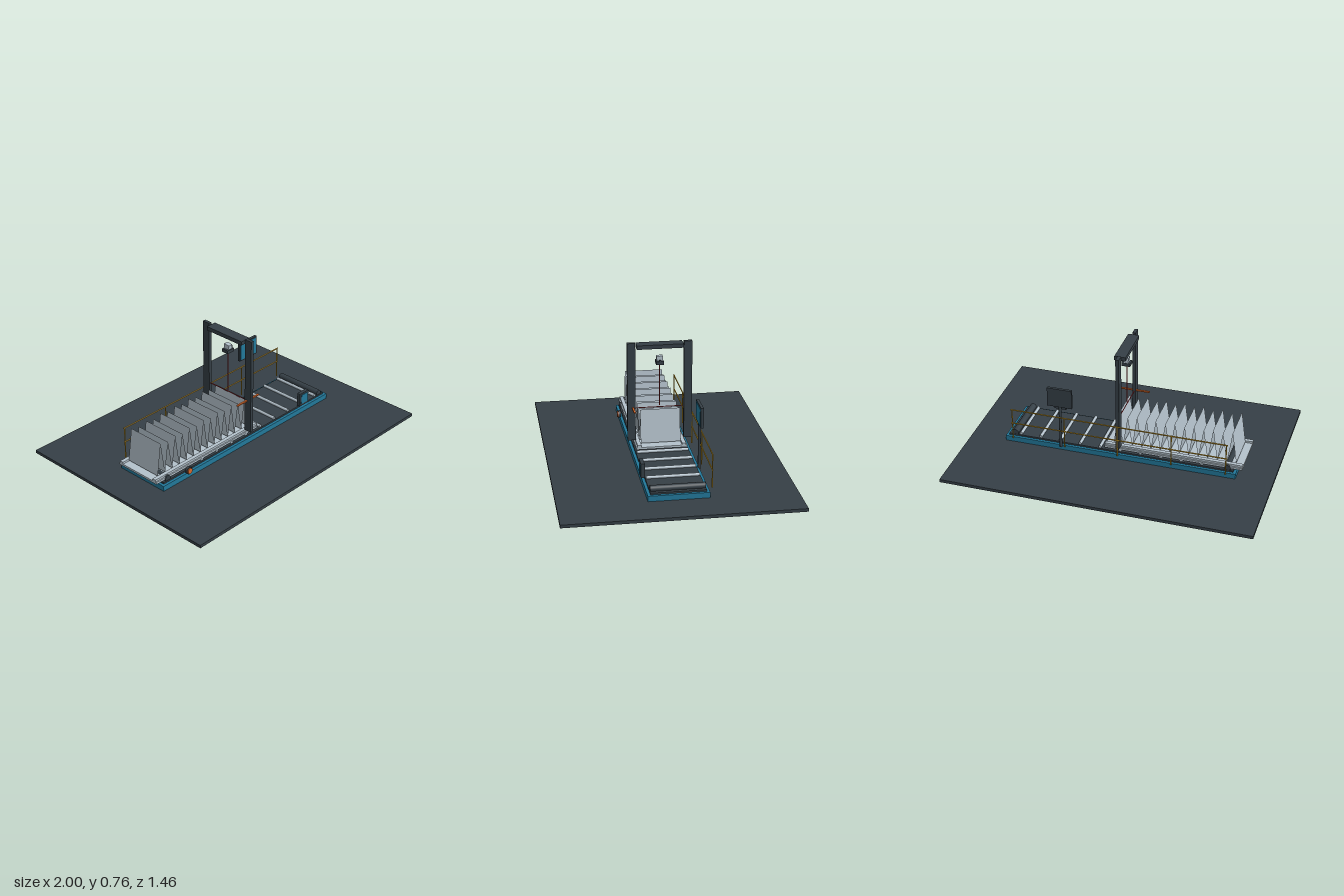
import * as THREE from 'three';

const mat = (name, color) => {
  const m = new THREE.MeshStandardMaterial({ color });
  m.name = name;
  return m;
};

export function createModel() {
  const root = new THREE.Group();
  root.name = 'inspectionConveyor';
  const dark = mat('charcoal', 0x353f46);
  const teal = mat('teal', 0x22789a);
  const steel = mat('paleSteel', 0xb4c2cc);
  const yellow = mat('safetyYellow', 0xcfa026);
  const orange = mat('orange', 0xd9682a);
  const red = mat('laserRed', 0xb02a2e);
  steel.side = THREE.DoubleSide;

  const add = (name, geo, m, x, y, z) => {
    const mesh = new THREE.Mesh(geo, m);
    mesh.name = name;
    mesh.position.set(x, y, z);
    root.add(mesh);
    return mesh;
  };
  // Box given by its limits on each axis
  const box = (name, m, x0, x1, y0, y1, z0, z1) =>
    add(name, new THREE.BoxGeometry(x1 - x0, y1 - y0, z1 - z0), m,
      (x0 + x1) / 2, (y0 + y1) / 2, (z0 + z1) / 2);
  // Cylinder along one axis
  const rod = (name, m, r, len, axis, x, y, z, sides = 16) => {
    const geo = new THREE.CylinderGeometry(r, r, len, sides);
    if (axis === 'x') geo.rotateZ(Math.PI / 2);
    if (axis === 'z') geo.rotateX(Math.PI / 2);
    return add(name, geo, m, x, y, z);
  };

  // Floor slab, machine frame and belt
  box('floorSlab', dark, -1, 1, 0, 0.02, -0.73, 0.73);
  box('baseFrame', teal, -0.763, 0.763, 0.02, 0.055, -0.188, 0.188);
  box('belt', dark, -0.745, 0.745, 0.055, 0.066, -0.17, 0.17);
  for (const x of [-0.706, 0.704]) rod('endDrum', dark, 0.021, 0.336, 'z', x, 0.077, 0, 24);
  for (let i = 0; i < 10; i++) rod('roller', steel, 0.01, 0.33, 'z', 0.665 - i * 0.134, 0.074, 0);

  // Sliding tray with side rails
  box('trayDeck', steel, -0.8, 0.1, 0.076, 0.09, -0.164, 0.164);
  for (const s of [-1, 1]) {
    const lip = box('trayRail', steel, -0.8, 0.1, 0.09, 0.104, -0.0125, 0.0125);
    lip.position.z = s * 0.143;
  }

  // Folded sheet standing on the tray as a row of steep ridges
  const folds = 13, pitch = 0.0617, pos = [];
  const pt = (i) => [-0.753 + i * pitch / 2, i % 2 ? (i % 4 === 1 ? 0.315 : 0.3) : 0.098];
  for (let i = 0; i < folds * 2; i++) {
    const [xa, ya] = pt(i), [xb, yb] = pt(i + 1), w = 0.128;
    pos.push(xa, ya, w, xb, yb, w, xb, yb, -w, xa, ya, w, xb, yb, -w, xa, ya, -w);
  }
  const sheet = new THREE.BufferGeometry();
  sheet.setAttribute('position', new THREE.Float32BufferAttribute(pos, 3));
  sheet.computeVertexNormals();
  add('foldedSheet', sheet, steel, 0, 0, 0);

  // Scanner gantry
  for (const s of [-1, 1]) {
    const post = box('gantryPost', dark, -0.011, 0.011, 0.107, 0.757, -0.026, 0.026);
    post.position.z = s * 0.181;
  }
  box('gantryBeam', dark, -0.036, 0.036, 0.722, 0.748, -0.148, 0.148);

  // Sensor head and laser lines
  box('sensorBody', dark, -0.028, 0.028, 0.612, 0.634, -0.024, 0.024);
  const cap = box('sensorCap', steel, -0.015, 0.015, 0.632, 0.666, -0.02, 0.02);
  cap.rotation.x = 0.1;
  box('sensorPlug', dark, 0.026, 0.034, 0.618, 0.644, -0.006, 0.006);
  rod('verticalLaser', red, 0.0032, 0.28, 'y', 0, 0.474, 0, 8);
  rod('crossLaser', red, 0.003, 0.325, 'z', 0, 0.323, 0.01, 8);
  box('sensorBar', orange, -0.1, 0.1, 0.323, 0.331, 0.166, 0.178);

  // Monitor on its stand
  rod('monitorStand', dark, 0.009, 0.31, 'y', 0.385, 0.197, -0.188);
  box('monitorCase', dark, 0.303, 0.466, 0.345, 0.475, -0.199, -0.181);
  box('monitorScreen', teal, 0.311, 0.458, 0.353, 0.467, -0.181, -0.178);

  // Operator panel
  box('operatorPanel', dark, 0.475, 0.558, 0.083, 0.176, 0.176, 0.2);
  box('operatorScreen', teal, 0.489, 0.549, 0.098, 0.164, 0.2, 0.203);

  // Stop button
  rod('stopButtonBase', dark, 0.025, 0.016, 'z', -0.55, 0.072, 0.19, 20);
  rod('stopButton', orange, 0.019, 0.008, 'z', -0.55, 0.072, 0.201, 20);

  // Rear guard rail
  for (const y of [0.175, 0.274]) rod('guardRail', yellow, 0.0042, 1.424, 'x', 0, y, -0.21, 8);
  for (let i = 0; i < 5; i++) {
    rod('guardPost', yellow, 0.0038, 0.215, 'y', -0.704 + i * 0.352, 0.167, -0.21, 8);
  }
  return root;
}
